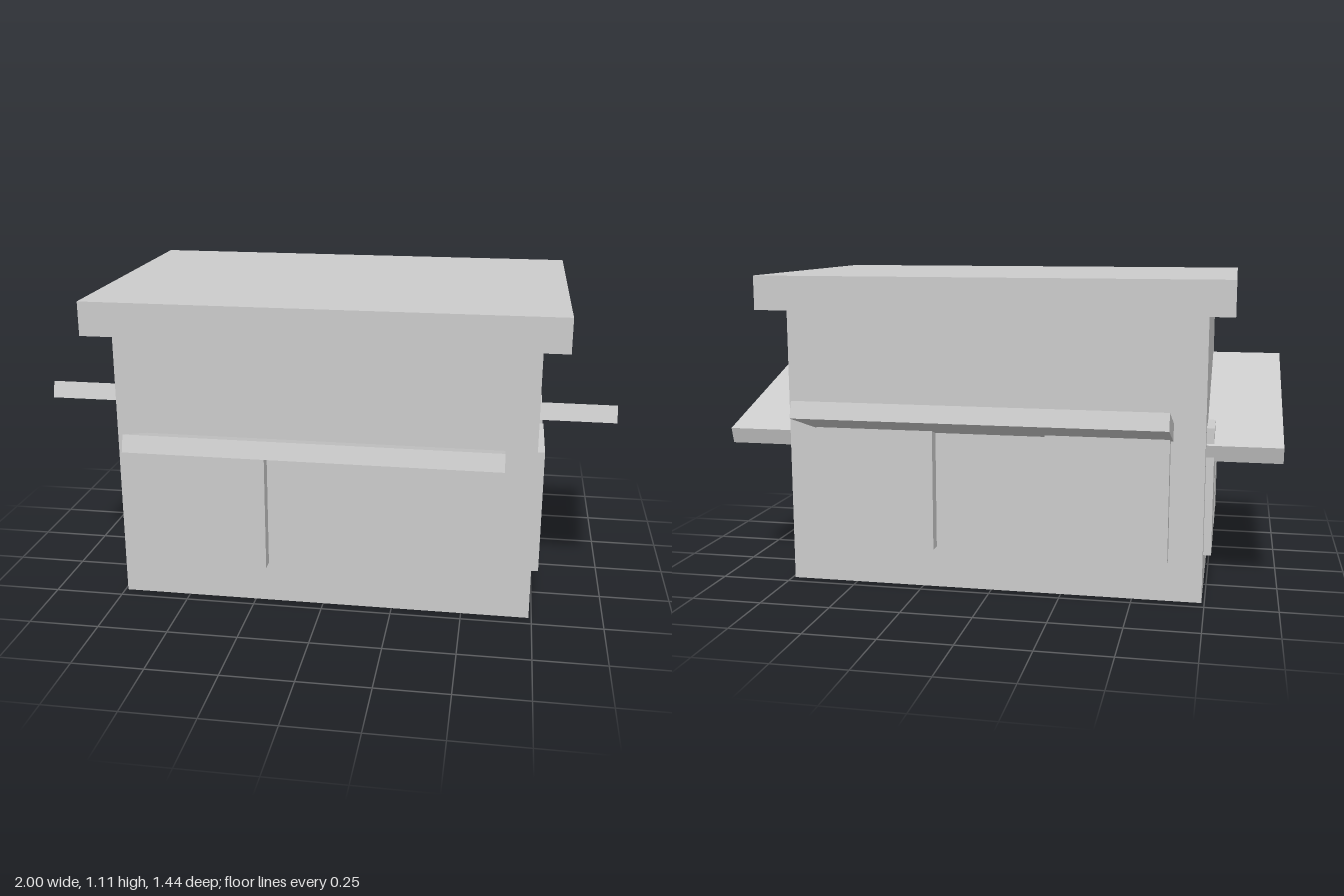
import * as THREE from 'three';

const material = new THREE.MeshStandardMaterial({ color: 0xcccccc, flatShading: true });

// Adds a named box, placed by its centre and optionally tilted about x
function addBox(parent, name, size, position, tilt = 0) {
  const mesh = new THREE.Mesh(new THREE.BoxGeometry(...size), material);
  mesh.name = name;
  mesh.position.set(...position);
  mesh.rotation.x = tilt;
  parent.add(mesh);
}

export function createModel() {
  const model = new THREE.Group();
  model.name = 'kiosk';

  // Main block and overhanging roof slab
  addBox(model, 'walls', [1.48, 0.99, 0.914], [0, 0.495, 0]);
  addBox(model, 'roof', [1.652, 0.12, 1.074], [0, 1.05, 0]);

  const tilt = 0.3;
  for (const side of [1, -1]) {
    const longName = side > 0 ? 'front' : 'back';
    const shortName = side > 0 ? 'left' : 'right';

    // Front and back awnings rise away from the wall
    addBox(model, longName + 'Awning', [1.264, 0.06, 0.284], [0, 0.63, side * 0.576], -side * tilt);
    // End awnings both slope down towards the back
    addBox(model, shortName + 'Awning', [0.28, 0.06, 0.805], [side * 0.86, 0.63, 0], -tilt);

    // Pairs of raised window panels
    for (const along of [1, -1]) {
      addBox(model, longName + 'Window', [0.424, 0.45, 0.06], [along * 0.411, 0.373, side * 0.473]);
      addBox(model, shortName + 'Window', [0.06, 0.45, 0.326], [side * 0.737, 0.373, along * 0.217]);
    }
  }
  return model;
}
